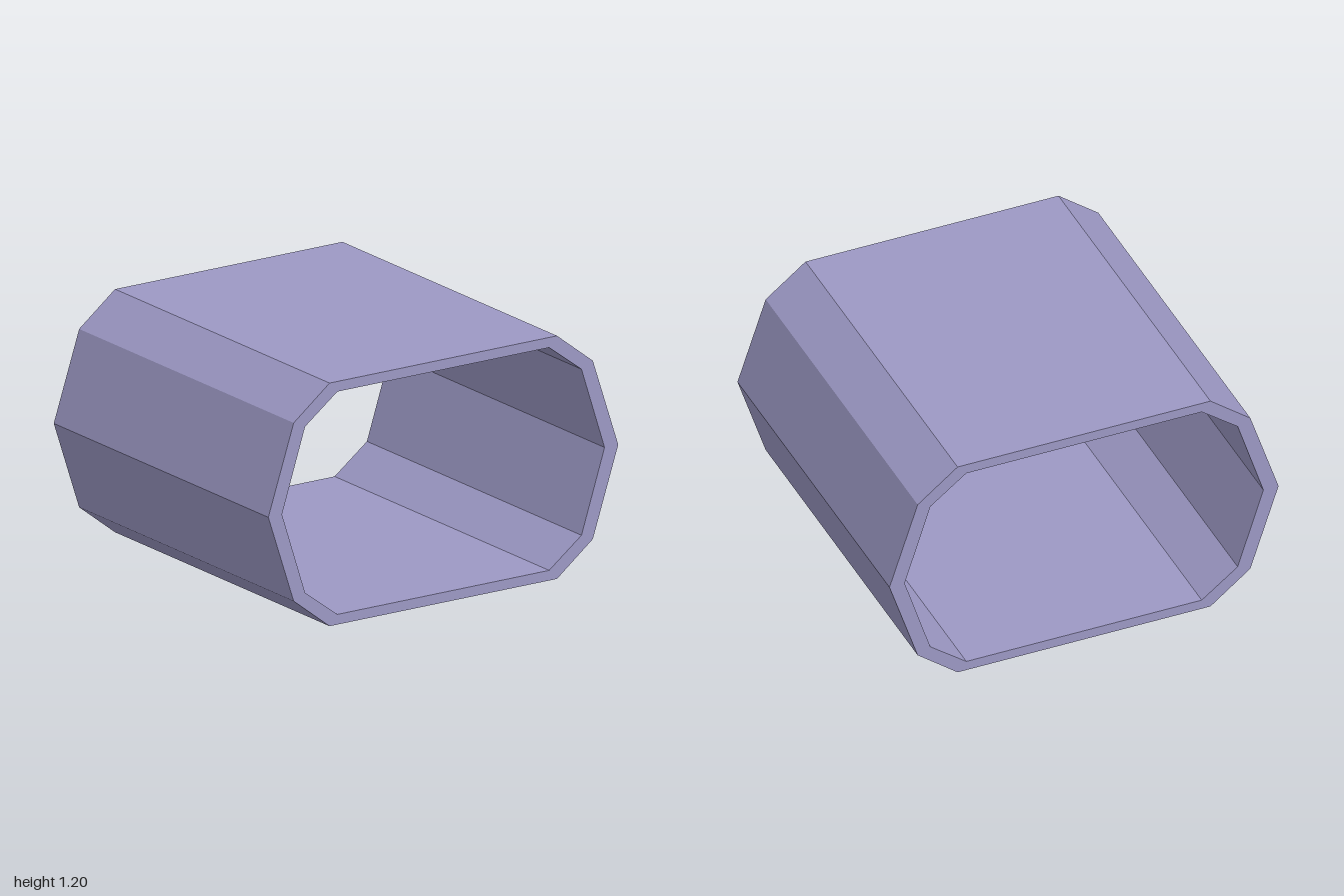
import * as THREE from 'three';

const HEIGHT = 1.2;
const DEPTH = 1.78;

// Ten-sided ring from its lower-left-side corners, mirrored up and across
function ring(lowerCorners, side) {
  const upper = lowerCorners.slice().reverse().map(([x, y]) => [x, HEIGHT - y]);
  const right = [...lowerCorners, side, ...upper];
  const left = right.slice().reverse().map(([x, y]) => [-x, y]);
  return [...right, ...left].map(([x, y]) => new THREE.Vector2(x, y));
}

export function createModel() {
  const group = new THREE.Group();
  group.name = 'tunnelSegment';

  // Hollow tube: outer wall with the opening cut through
  const profile = new THREE.Shape(ring([[0.65, 0], [0.855, 0.16]], [1, 0.6]));
  profile.holes.push(new THREE.Path(ring([[0.605, 0.05], [0.79, 0.19]], [0.922, 0.6])));

  const geometry = new THREE.ExtrudeGeometry(profile, { depth: DEPTH, bevelEnabled: false });
  geometry.translate(0, 0, -DEPTH / 2);

  const material = new THREE.MeshStandardMaterial({ color: 0x9c98c4, flatShading: true });
  const shell = new THREE.Mesh(geometry, material);
  shell.name = 'tunnelShell';
  group.add(shell);

  return group;
}
